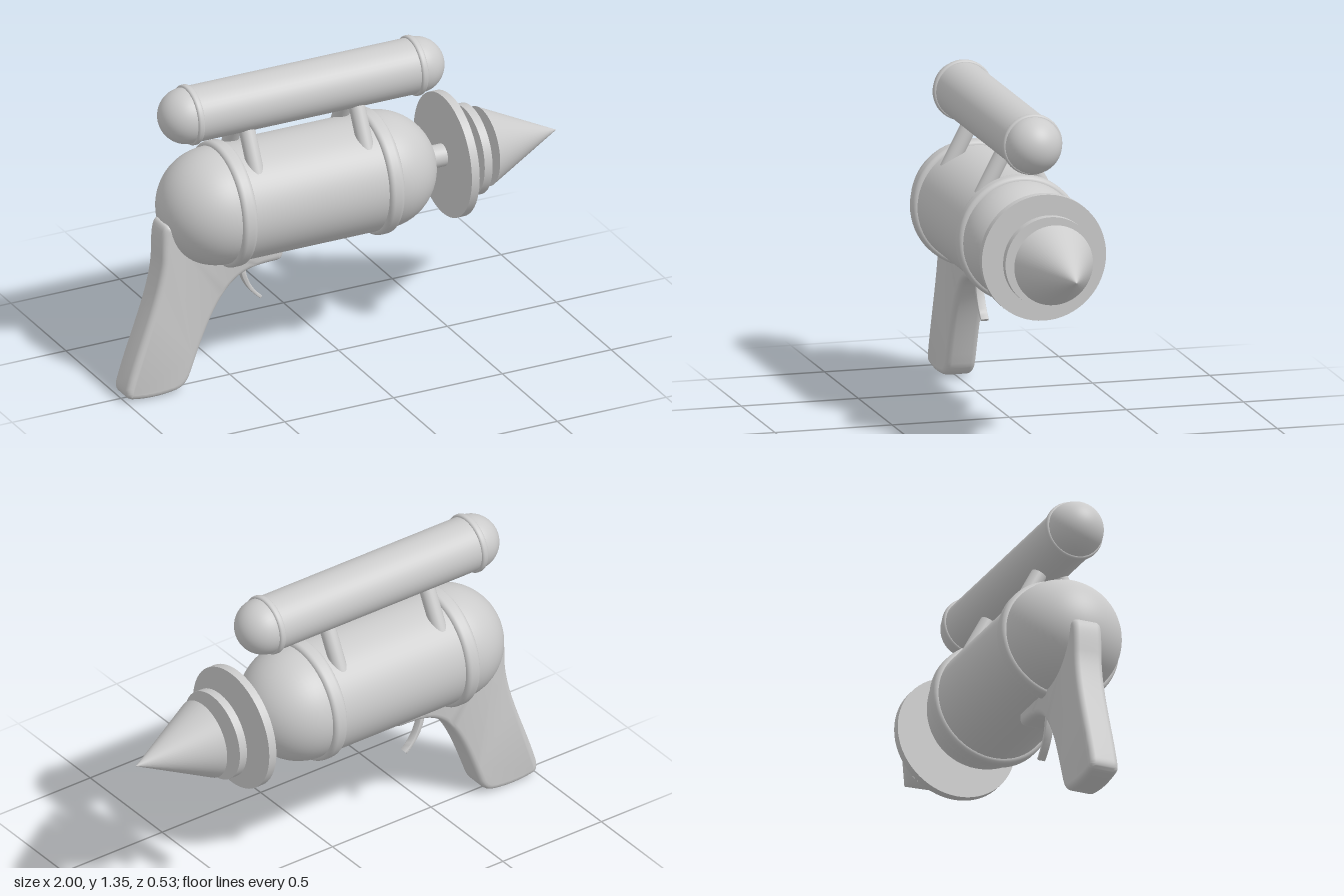
import * as THREE from 'three';
import { toCreasedNormals } from 'three/addons/utils/BufferGeometryUtils.js';

const material = new THREE.MeshStandardMaterial({ color: 0xcccccc });
const BODY_Y = 0.79;
const TANK_Y = 1.228;

export function createModel() {
  const model = new THREE.Group();

  const add = (name, geometry) => {
    const mesh = new THREE.Mesh(geometry, material);
    mesh.name = name;
    model.add(mesh);
    return mesh;
  };

  // Lays a geometry built around y along the x axis
  const addAlongX = (name, geometry, x, y) =>
    add(name, geometry.rotateZ(-Math.PI / 2).translate(x, y, 0));

  // Round-ended cylinder between two x positions
  const addCapsule = (name, x0, x1, r, y, sides) =>
    addAlongX(name, new THREE.CapsuleGeometry(r, x1 - x0 - 2 * r, 16, sides), (x0 + x1) / 2, y);

  // Hoop with rounded outer edges
  const addBand = (name, x, y, inner, outer, width, round) => {
    const pts = [new THREE.Vector2(inner, -width / 2)];
    for (const side of [-1, 1]) {
      for (let i = 0; i <= 5; i++) {
        const a = (side < 0 ? i / 5 - 1 : i / 5) * Math.PI / 2;
        pts.push(new THREE.Vector2(
          outer - round + round * Math.cos(a),
          side * (width / 2 - round) + round * Math.sin(a)));
      }
    }
    pts.push(new THREE.Vector2(inner, width / 2));
    addAlongX(name, new THREE.LatheGeometry(pts, 64), x, y);
  };

  // Side outline extruded across z with rounded edges, keeping the outline size
  const addPlate = (name, shape, width, bevel) => {
    const depth = width - 2 * bevel;
    const geometry = new THREE.ExtrudeGeometry(shape, {
      depth, curveSegments: 12, bevelEnabled: true, bevelSize: bevel,
      bevelThickness: bevel, bevelOffset: -bevel, bevelSegments: 4,
    }).translate(0, 0, -depth / 2);
    add(name, toCreasedNormals(geometry, 0.7));
  };

  // Body and its two hoops
  addCapsule('body', -0.813, 0.422, 0.248, BODY_Y, 64);
  for (const x of [-0.531, 0.144]) addBand('bodyBand', x, BODY_Y, 0.235, 0.266, 0.068, 0.02);

  // Upper tank and its two hoops
  addCapsule('tank', -0.82, 0.473, 0.118, TANK_Y, 40);
  for (const x of [-0.688, 0.339]) addBand('tankBand', x, TANK_Y, 0.11, 0.127, 0.03, 0.01);

  // Splayed struts carrying the tank
  for (const x of [-0.445, 0.06]) {
    for (const side of [-1, 1]) {
      const foot = new THREE.Vector3(x, 0.96, side * 0.135);
      const top = new THREE.Vector3(x, 1.16, side * 0.03);
      const dir = top.clone().sub(foot);
      const strut = add('strut', new THREE.CylinderGeometry(0.034, 0.034, dir.length(), 24));
      strut.position.copy(foot).lerp(top, 0.5);
      strut.quaternion.setFromUnitVectors(new THREE.Vector3(0, 1, 0), dir.normalize());
    }
  }

  // Barrel rod, discs and pointed tip
  addAlongX('barrelRod', new THREE.CylinderGeometry(0.048, 0.048, 0.3, 32), 0.52, BODY_Y);
  addAlongX('largeDisc', new THREE.CylinderGeometry(0.265, 0.265, 0.036, 64), 0.497, BODY_Y);
  addAlongX('smallDisc', new THREE.CylinderGeometry(0.192, 0.192, 0.036, 64), 0.593, BODY_Y);
  addAlongX('tip', new THREE.ConeGeometry(0.168, 0.342, 64), 0.829, BODY_Y);

  // Grip, its upper edge buried in the body
  const grip = new THREE.Shape();
  grip.moveTo(-0.81, 0.77);
  grip.bezierCurveTo(-0.84, 0.765, -0.838, 0.69, -0.84, 0.6);
  grip.bezierCurveTo(-0.852, 0.44, -0.95, 0.24, -0.997, 0.07);
  grip.quadraticCurveTo(-1.01, 0.018, -0.97, 0.012);
  grip.quadraticCurveTo(-0.87, -0.006, -0.77, 0.013);
  grip.quadraticCurveTo(-0.725, 0.024, -0.705, 0.08);
  grip.bezierCurveTo(-0.655, 0.215, -0.61, 0.35, -0.53, 0.435);
  grip.bezierCurveTo(-0.47, 0.495, -0.41, 0.502, -0.31, 0.503);
  grip.quadraticCurveTo(-0.28, 0.505, -0.28, 0.54);
  grip.lineTo(-0.28, 0.64);
  grip.lineTo(-0.6, 0.72);
  grip.closePath();
  addPlate('grip', grip, 0.13, 0.025);

  // Curved trigger
  const trigger = new THREE.Shape();
  trigger.moveTo(-0.46, 0.51);
  trigger.quadraticCurveTo(-0.458, 0.4, -0.366, 0.327);
  trigger.lineTo(-0.358, 0.336);
  trigger.quadraticCurveTo(-0.437, 0.405, -0.437, 0.51);
  trigger.closePath();
  addPlate('trigger', trigger, 0.034, 0.003);

  return model;
}
